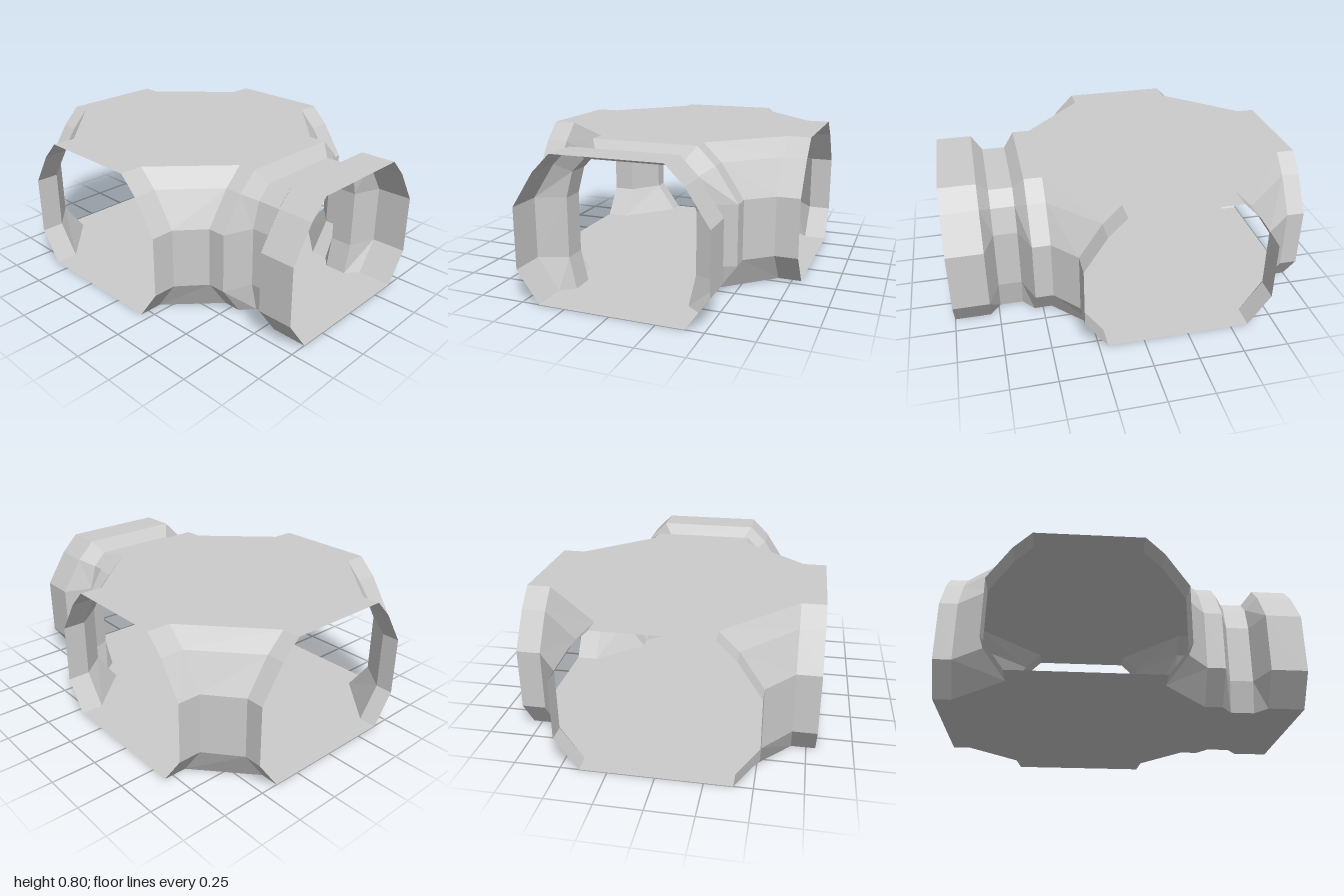
import * as THREE from 'three';

// Wall profile: [half width, height] from floor edge to roof edge
const FULL = [[0.4, 0], [0.525, 0.175], [0.525, 0.51], [0.4, 0.7], [0.3, 0.8]];
const NARROW = [[0.325, 0], [0.365, 0.175], [0.365, 0.51], [0.325, 0.655], [0.25, 0.73]];
const CENTER_Z = -0.2, SIDE_X = 0.8, BEND_X = 0.67, FRONT_BEND = 0.45, BACK_BEND = -0.9, BACK_Z = -1;

const material = new THREE.MeshStandardMaterial({
  color: 0xcccccc, flatShading: true, side: THREE.DoubleSide,
});

function addMesh(group, name, geometry) {
  const mesh = new THREE.Mesh(geometry, material);
  mesh.name = name;
  group.add(mesh);
}

// Skins a list of equal-length point rows
function loft(rows, closed = false, flip = false) {
  const pos = [];
  const n = rows[0].length;
  for (let s = 0; s < rows.length - 1; s++) {
    for (let i = 0; i < (closed ? n : n - 1); i++) {
      const j = (i + 1) % n;
      const a = rows[s][i], b = rows[s][j], c = rows[s + 1][j], d = rows[s + 1][i];
      const tris = flip ? [a, c, b, a, d, c] : [a, b, c, a, c, d];
      tris.forEach((p) => pos.push(...p));
    }
  }
  const geometry = new THREE.BufferGeometry();
  geometry.setAttribute('position', new THREE.Float32BufferAttribute(pos, 3));
  geometry.computeVertexNormals();
  return geometry;
}

// Flat slab outline of the junction for a given passage half width
function plate(h, y, up) {
  const right = [
    [h, FRONT_BEND], [BEND_X, CENTER_Z + h], [SIDE_X, CENTER_Z + h],
    [SIDE_X, CENTER_Z - h], [BEND_X, CENTER_Z - h], [h, BACK_BEND], [h, BACK_Z],
  ];
  const left = right.map(([x, z]) => [-x, z]).reverse();
  const k = up ? -1 : 1;
  const shape = new THREE.Shape([...right, ...left].map(([x, z]) => new THREE.Vector2(x, k * z)));
  return new THREE.ShapeGeometry(shape).rotateX(k * Math.PI / 2).translate(0, y, 0);
}

export function createModel() {
  const group = new THREE.Group();
  group.name = 'tunnelJunction';

  // Floor and roof of the crossing
  addMesh(group, 'floor', plate(FULL[0][0], FULL[0][1], false));
  addMesh(group, 'roof', plate(FULL[4][0], FULL[4][1], true));

  // Four bevelled corner walls, from side opening round to front or back
  for (const sx of [1, -1]) {
    for (const sz of [1, -1]) {
      const bend = sz > 0 ? FRONT_BEND : BACK_BEND;
      const rows = [
        FULL.map(([h, y]) => [sx * SIDE_X, y, CENTER_Z + sz * h]),
        FULL.map(([h, y]) => [sx * BEND_X, y, CENTER_Z + sz * h]),
        FULL.map(([h, y]) => [sx * h, y, bend]),
      ];
      if (sz < 0) rows.push(FULL.map(([h, y]) => [sx * h, y, BACK_Z]));
      const name = (sz > 0 ? 'front' : 'back') + (sx > 0 ? 'Left' : 'Right') + 'Wall';
      addMesh(group, name, loft(rows, false, sx * sz < 0));
    }
  }

  // Front passage with a narrowed neck
  const stations = [
    [FRONT_BEND, FULL], [0.55, FULL], [0.61, NARROW], [0.74, NARROW], [0.8, FULL], [1, FULL],
  ];
  const rings = stations.map(([z, profile]) => [
    ...profile.map(([x, y]) => [x, y, z]),
    ...profile.map(([x, y]) => [-x, y, z]).reverse(),
  ]);
  addMesh(group, 'frontPassage', loft(rings, true));

  return group;
}
